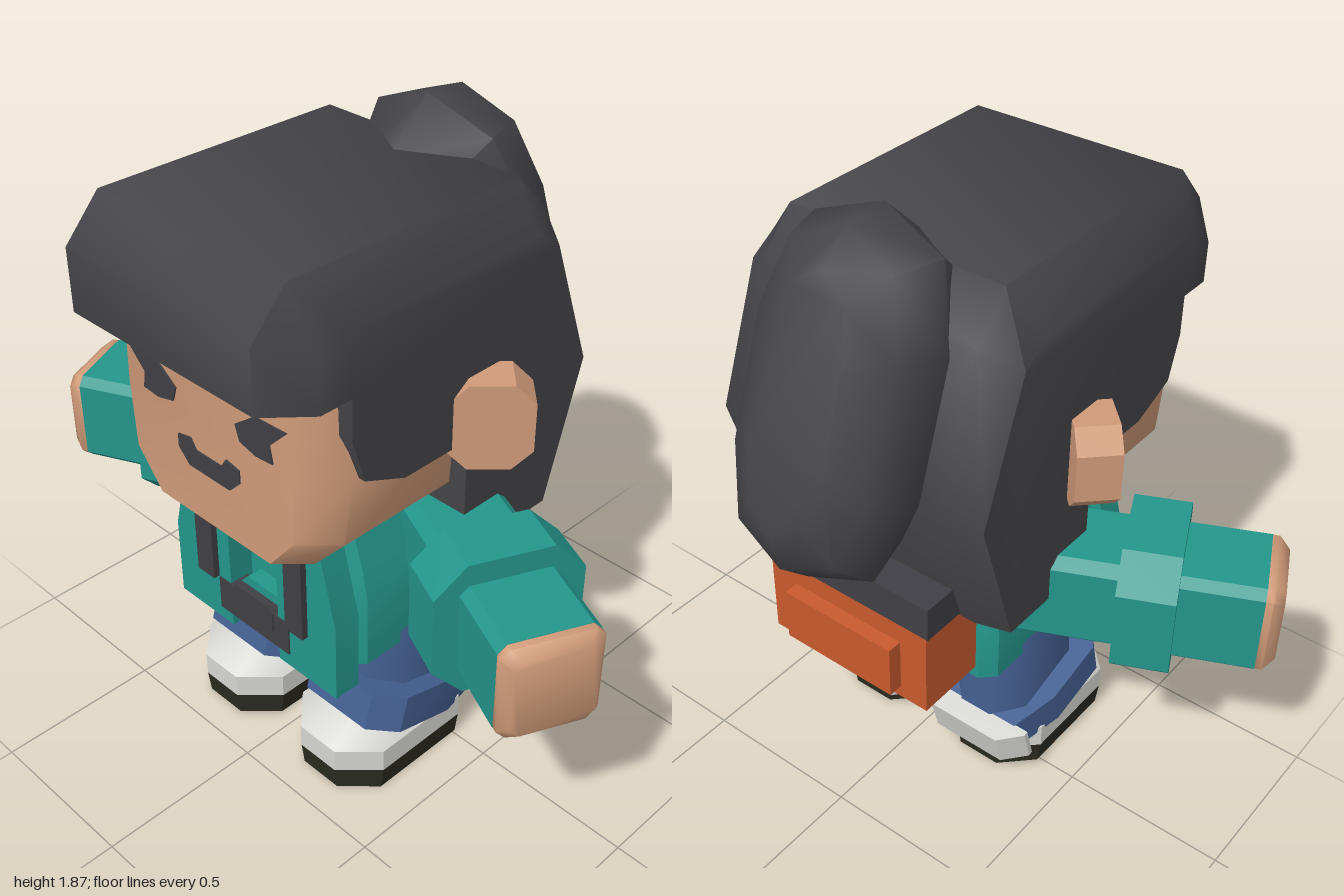
import * as THREE from 'three';
import { toCreasedNormals } from 'three/addons/utils/BufferGeometryUtils.js';

const mat = (name, color) => new THREE.MeshStandardMaterial({ name, color });

// Skin over closed outlines [height, points], stacked along z, with flat caps
function loft(rings, crease = 0.6) {
  const pos = [];
  const put = (r, i) => {
    const [h, pts] = rings[r];
    const p = pts[i % pts.length];
    pos.push(p[0], p[1], h);
  };
  const last = rings.length - 1;
  const n = rings[0][1].length;
  for (let r = 0; r < last; r++) {
    for (let i = 0; i < n; i++) {
      put(r, i); put(r, i + 1); put(r + 1, i + 1);
      put(r, i); put(r + 1, i + 1); put(r + 1, i);
    }
  }
  for (const r of [0, last]) {
    const flat = rings[r][1].map(p => new THREE.Vector2(p[0], p[1]));
    for (const f of THREE.ShapeUtils.triangulateShape(flat, [])) {
      (r === 0 ? [f[2], f[1], f[0]] : f).forEach(i => put(r, i));
    }
  }
  const geo = new THREE.BufferGeometry();
  geo.setAttribute('position', new THREE.Float32BufferAttribute(pos, 3));
  return toCreasedNormals(geo, crease);
}

// Rectangle with cut corners
function rect(w, d, c, ox = 0, oy = 0) {
  const a = w / 2, b = d / 2;
  return [[-a + c, -b], [a - c, -b], [a, -b + c], [a, b - c], [a - c, b], [-a + c, b], [-a, b - c], [-a, -b + c]]
    .map(([x, y]) => [x + ox, y + oy]);
}

// Completes a right-hand outline (listed bottom to top) with its mirror
const mirrored = half => [...half, ...half.filter(p => p[0] !== 0).reverse().map(p => [-p[0], p[1]])];
const flipped = pts => pts.map(p => [-p[0], p[1]]).reverse();

// Stack of cut rectangles going up: [y, width, depth, corner, z centre]
const upright = (rows, crease) =>
  loft(rows.map(([y, w, d, c, z = 0]) => [y, rect(w, d, c, 0, -z)]), crease).rotateX(-Math.PI / 2);

const slab = (pts, z0, z1, crease) => loft([[z0, pts], [z1, pts]], crease);

export function createModel() {
  const skin = mat('skin', 0xd09b79);
  const hair = mat('hair', 0x444448);
  const dark = mat('dark trim', 0x403f45);
  const teal = mat('teal jacket', 0x24968c);
  const blue = mat('blue trousers', 0x446092);
  const white = mat('white shoe', 0xd6d6d2);
  const sole = mat('dark sole', 0x2b2c20);
  const orange = mat('orange bag', 0xc85a2e);

  const model = new THREE.Group();
  const add = (name, geo, material, parent = model) => {
    const m = new THREE.Mesh(geo, material);
    m.name = name;
    parent.add(m);
    return m;
  };
  const box = (name, material, x0, x1, y0, y1, z0, z1) =>
    add(name, new THREE.BoxGeometry(x1 - x0, y1 - y0, z1 - z0)
      .translate((x0 + x1) / 2, (y0 + y1) / 2, (z0 + z1) / 2), material);

  // Head
  add('head', upright([
    [0.89, 0.6, 0.56, 0.08, 0.28],
    [1.0, 0.8, 0.56, 0.09, 0.28],
    [1.2, 0.84, 0.56, 0.1, 0.28],
    [1.5, 0.78, 0.56, 0.08, 0.28],
  ], 0.9), skin);

  // Hair cap: side outline (z, y), inset towards the sides along its upper rim
  const lower = [[0.48, 1.45], [0.48, 1.33], [0.44, 1.2], [0.3, 1.14], [0.07, 1.14], [0.07, 0.77]];
  const outer = [[0.69, 1.45], ...lower, [-0.3, 0.77], [-0.43, 1.19], [-0.31, 1.63], [-0.2, 1.75], [0.58, 1.75], [0.69, 1.63]];
  const inset = [[0.58, 1.45], ...lower, [-0.27, 0.77], [-0.4, 1.19], [-0.25, 1.58], [-0.17, 1.63], [0.5, 1.63], [0.58, 1.57]];
  const side = pts => pts.map(([z, y]) => [-z, y]);
  add('hair', loft([
    [-0.44, side(inset)], [-0.34, side(outer)], [0.34, side(outer)], [0.44, side(inset)],
  ], 0.85).rotateY(Math.PI / 2), hair);

  // Tied hair hanging behind, a tilted rounded oval
  const oval = mirrored([[0, -1], [0.74, -0.84], [1, -0.4], [1, 0.4], [0.74, 0.84], [0, 1]]);
  const tailRings = [[-1.04, 0.12, 0.34], [-0.974, 0.22, 0.447], [-0.85, 0.275, 0.5], [-0.67, 0.2, 0.42]];
  add('ponytail', loft(tailRings.map(([z, w, h]) => [z, oval.map(([x, y]) => [x * w, 1.18 + y * h])]), 0.9)
    .rotateX(20 * Math.PI / 180), hair);

  // Face details
  const eye = [[0.24, 1.265], [0.25, 1.215], [0.19, 1.21], [0.13, 1.225], [0.115, 1.27], [0.19, 1.325], [0.305, 1.33]].reverse();
  add('leftEye', slab(eye, 0.558, 0.565), dark);
  add('rightEye', slab(flipped(eye), 0.558, 0.565), dark);
  add('mouth', slab([[-0.08, 1.05], [0.08, 1.05], [0.12, 1.09], [0.12, 1.13], [0.07, 1.14], [0.05, 1.11],
    [-0.05, 1.11], [-0.07, 1.14], [-0.12, 1.13], [-0.12, 1.09]], 0.558, 0.565), dark);

  // Jacket
  add('jacketBody', upright([
    [0.46, 0.66, 0.57, 0.04, 0.075],
    [0.68, 0.66, 0.57, 0.04, 0.075],
    [0.77, 0.6, 0.55, 0.05, 0.085],
    [0.9, 0.52, 0.46, 0.05, 0.13],
  ]), teal);
  const panel = [[0.1, 0.41], [0.33, 0.41], [0.33, 0.66], [0.27, 0.895], [0.1, 0.895]];
  add('leftJacketPanel', slab(panel, 0.355, 0.44), teal);
  add('rightJacketPanel', slab(flipped(panel), 0.355, 0.44), teal);
  add('jacketTab', slab(rect(0.18, 0.17, 0.03, 0, 0.51), 0.33, 0.41), teal);
  box('chestBuckle', dark, -0.145, 0.145, 0.455, 0.565, 0.38, 0.445);
  add('buckleClip', slab(rect(0.17, 0.1, 0.02, 0, 0.535), 0.43, 0.45), dark);

  // Backpack
  box('backpack', orange, -0.28, 0.28, 0.5, 0.79, -0.43, -0.2);
  box('backpackPocket', orange, -0.19, 0.19, 0.54, 0.705, -0.475, -0.42);
  box('backpackLid', dark, -0.295, 0.295, 0.78, 0.885, -0.44, -0.2);

  for (const s of [1, -1]) {
    const label = s > 0 ? 'left' : 'right';

    box(label + 'Strap', dark, s * 0.185 - 0.035, s * 0.185 + 0.035, 0.565, 0.895, 0.43, 0.46);

    // Ear, turned half outwards
    const ear = add(label + 'Ear', slab(rect(0.225, 0.25, 0.055), -0.06, 0.06), skin);
    ear.position.set(s * 0.465, 1.205, 0.02);
    ear.rotation.y = s * Math.PI / 4;

    // Arm, running along its own z
    const arm = new THREE.Group();
    arm.name = label + 'Arm';
    arm.position.set(s * 0.62, 0.757, 0.14);
    arm.rotation.y = s * 65 * Math.PI / 180;
    model.add(arm);
    add('upperArm', slab(rect(0.28, 0.29, 0.03), -0.38, 0), teal, arm);
    add('sleeveBand', slab(rect(0.42, 0.42, 0.09), -0.08, 0.08), teal, arm);
    add('forearm', slab(rect(0.28, 0.29, 0.025), 0.07, 0.305), teal, arm);
    add('hand', loft([
      [0.3, rect(0.278, 0.288, 0.025)], [0.325, rect(0.278, 0.288, 0.025)], [0.355, rect(0.23, 0.24, 0.025)],
    ], 0.9), skin, arm);

    // Leg and shoe
    const leg = new THREE.Group();
    leg.name = label + 'Leg';
    leg.position.x = s * 0.215;
    model.add(leg);
    add('trouserLeg', upright([[0.15, 0.27, 0.38, 0.08, 0.07], [0.5, 0.23, 0.38, 0.07, 0.07]], 0.9), blue, leg);
    add('shoeSole', upright([[0, 0.32, 0.5, 0.09, 0.15], [0.075, 0.34, 0.52, 0.1, 0.15]]), sole, leg);
    add('shoeUpper', upright([
      [0.075, 0.34, 0.52, 0.1, 0.15], [0.15, 0.34, 0.52, 0.1, 0.15], [0.225, 0.22, 0.36, 0.07, 0.12],
    ]), white, leg);

    // Tilted trouser cuff with a pale heel band
    const cuff = new THREE.Group();
    cuff.name = label + 'Cuff';
    cuff.position.set(0, 0.215, 0.08);
    cuff.rotation.x = -15 * Math.PI / 180;
    leg.add(cuff);
    const front = mirrored([[0.12, -0.25], [0.185, -0.17], [0.185, 0.04], [0.14, 0.185]]);
    const heel = mirrored([[0.185, 0.18], [0.185, 0.195], [0.12, 0.255]]);
    add('cuffFront', slab(front, -0.058, 0.058).rotateX(-Math.PI / 2), blue, cuff);
    add('cuffHeel', slab(heel, -0.058, 0.058).rotateX(-Math.PI / 2), white, cuff);
  }
  return model;
}
